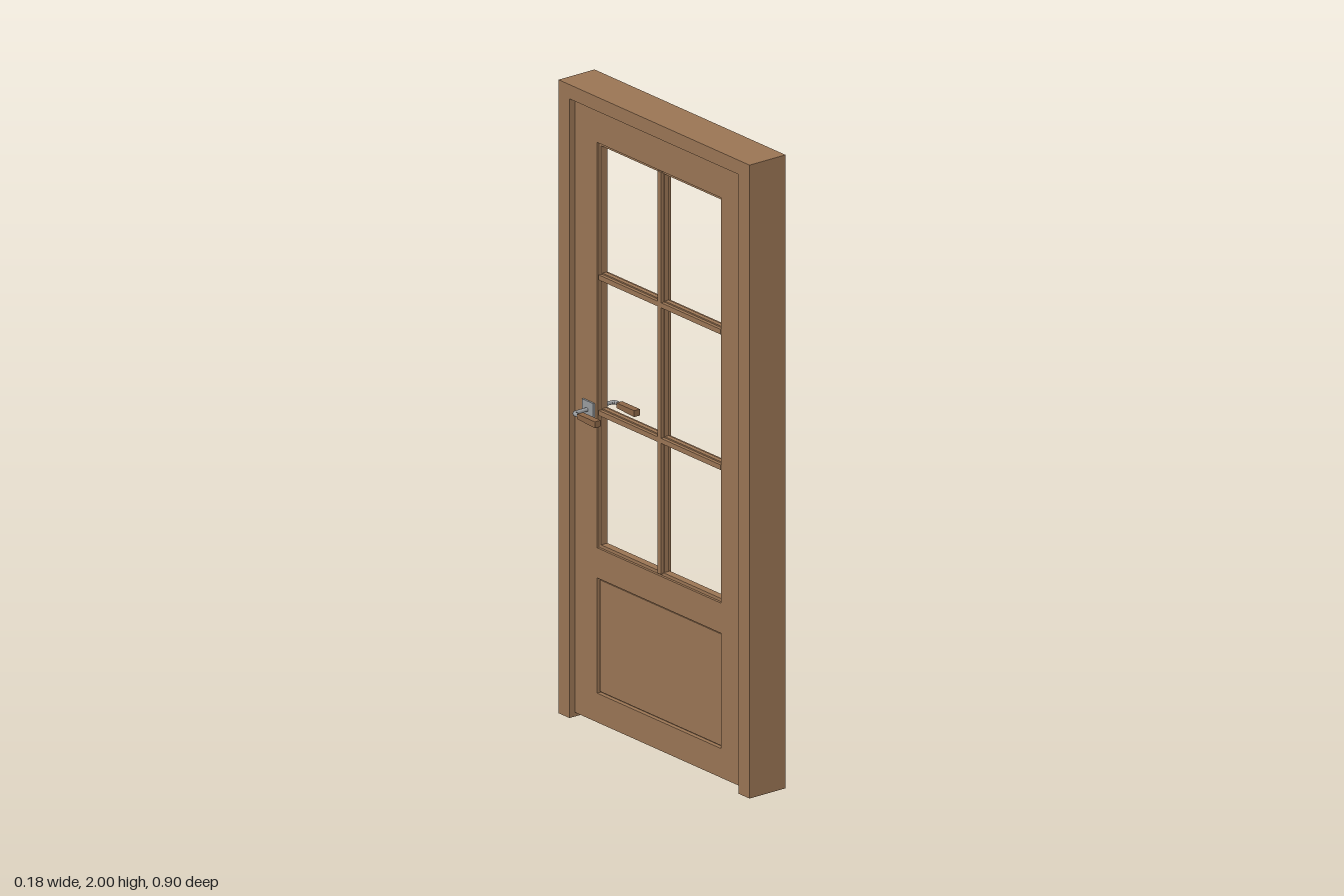
import * as THREE from 'three';

const wood = new THREE.MeshStandardMaterial({ color: 0x9b7655 });
wood.name = 'wood';
const gripWood = new THREE.MeshStandardMaterial({ color: 0x8c6748 });
gripWood.name = 'dark wood';
const metal = new THREE.MeshStandardMaterial({ color: 0x9a9da0 });
metal.name = 'brushed metal';

// Box given by its limits on each axis
function box(parent, name, mat, [x0, x1], [y0, y1], [z0, z1]) {
  const mesh = new THREE.Mesh(new THREE.BoxGeometry(x1 - x0, y1 - y0, z1 - z0), mat);
  mesh.position.set((x0 + x1) / 2, (y0 + y1) / 2, (z0 + z1) / 2);
  mesh.name = name;
  parent.add(mesh);
  return mesh;
}

const rect = (w, y0, y1) => [[-w, y0], [w, y0], [w, y1], [-w, y1]].map(p => new THREE.Vector2(...p));

// Outline in the z-y plane, extruded from x0 to x1
function slab(parent, name, outline, holes, x0, x1) {
  const shape = new THREE.Shape(outline);
  holes.forEach(h => shape.holes.push(new THREE.Path(h)));
  const geo = new THREE.ExtrudeGeometry(shape, { depth: x1 - x0, bevelEnabled: false });
  geo.rotateY(Math.PI / 2).translate(x0, 0, 0);
  const mesh = new THREE.Mesh(geo, wood);
  mesh.name = name;
  parent.add(mesh);
}

// Three-sided surround, open at the floor
const arch = (outer, top, inner, innerTop) => [
  [-outer, 0], [-inner, 0], [-inner, innerTop], [inner, innerTop],
  [inner, 0], [outer, 0], [outer, top], [-outer, top],
].map(p => new THREE.Vector2(...p));

const BACK = -0.027, FRONT = 0.013;

function makeHandle() {
  const g = new THREE.Group();
  // Local +x points away from the leaf, starting at its surface
  box(g, 'handlePlate', metal, [0, 0.006], [0.965, 1.018], [-0.358, -0.304]);
  const path = new THREE.CurvePath();
  const pts = [[0.004, -0.334], [0.05, -0.334], [0.057, -0.328], [0.057, -0.298]]
    .map(([x, z]) => new THREE.Vector3(x, 0.991, z));
  for (let i = 1; i < pts.length; i++) path.add(new THREE.LineCurve3(pts[i - 1], pts[i]));
  const stem = new THREE.Mesh(new THREE.TubeGeometry(path, 24, 0.0065, 8), metal);
  stem.name = 'handleStem';
  g.add(stem);
  // Grip grows a little deeper towards its tip
  const grip = box(g, 'handleGrip', gripWood, [0.043, 0.065], [0.983, 0.999], [-0.306, -0.222]);
  const p = grip.geometry.attributes.position;
  for (let i = 0; i < p.count; i++) if (p.getZ(i) > 0 && p.getY(i) < 0) p.setY(i, p.getY(i) - 0.004);
  grip.geometry.computeVertexNormals();
  return g;
}

export function createModel() {
  const model = new THREE.Group();
  model.name = 'door';

  // Fixed surround and the stop the leaf closes against
  slab(model, 'frame', arch(0.452, 2, 0.4, 1.955), [], -0.046, 0.09);
  slab(model, 'doorStop', arch(0.4, 1.955, 0.383, 1.936), [], FRONT, 0.058);

  // Leaf with window opening and panel opening
  const leaf = new THREE.Group();
  leaf.name = 'leaf';
  model.add(leaf);
  slab(leaf, 'leafFrame', rect(0.397, 0.014, 1.95),
    [rect(0.294, 0.565, 1.845), rect(0.293, 0.106, 0.47)], BACK, FRONT);

  // Slim bead stepped inside the window opening
  slab(leaf, 'windowBead', rect(0.294, 0.565, 1.845), [rect(0.284, 0.575, 1.835)], BACK + 0.008, FRONT - 0.008);

  // Glazing bars: a full-depth rib with a wider core
  for (const [half, inset] of [[0.008, 0.001], [0.012, 0.012]]) {
    const xs = [BACK + inset, FRONT - inset];
    box(leaf, 'uprightBar', wood, xs, [0.57, 1.84], [-half, half]);
    for (const y of [0.992, 1.42]) {
      const step = inset * 0.02;
      box(leaf, 'crossBar', wood, [xs[0] + 0.0003 + step, xs[1] - 0.0003 - step], [y - half, y + half], [-0.289, 0.289]);
    }
  }

  // Lower panel with a raised field
  box(leaf, 'panelBase', wood, [BACK + 0.014, FRONT - 0.014], [0.106, 0.47], [-0.293, 0.293]);
  box(leaf, 'panelField', wood, [BACK + 0.006, FRONT - 0.006], [0.112, 0.464], [-0.287, 0.287]);

  // Matching handles on both faces; the far one is turned and flipped in z
  const near = makeHandle();
  near.name = 'frontHandle';
  near.position.x = FRONT;
  const far = makeHandle();
  far.name = 'backHandle';
  far.scale.x = -1;
  far.position.x = BACK;
  model.add(near, far);
  return model;
}
